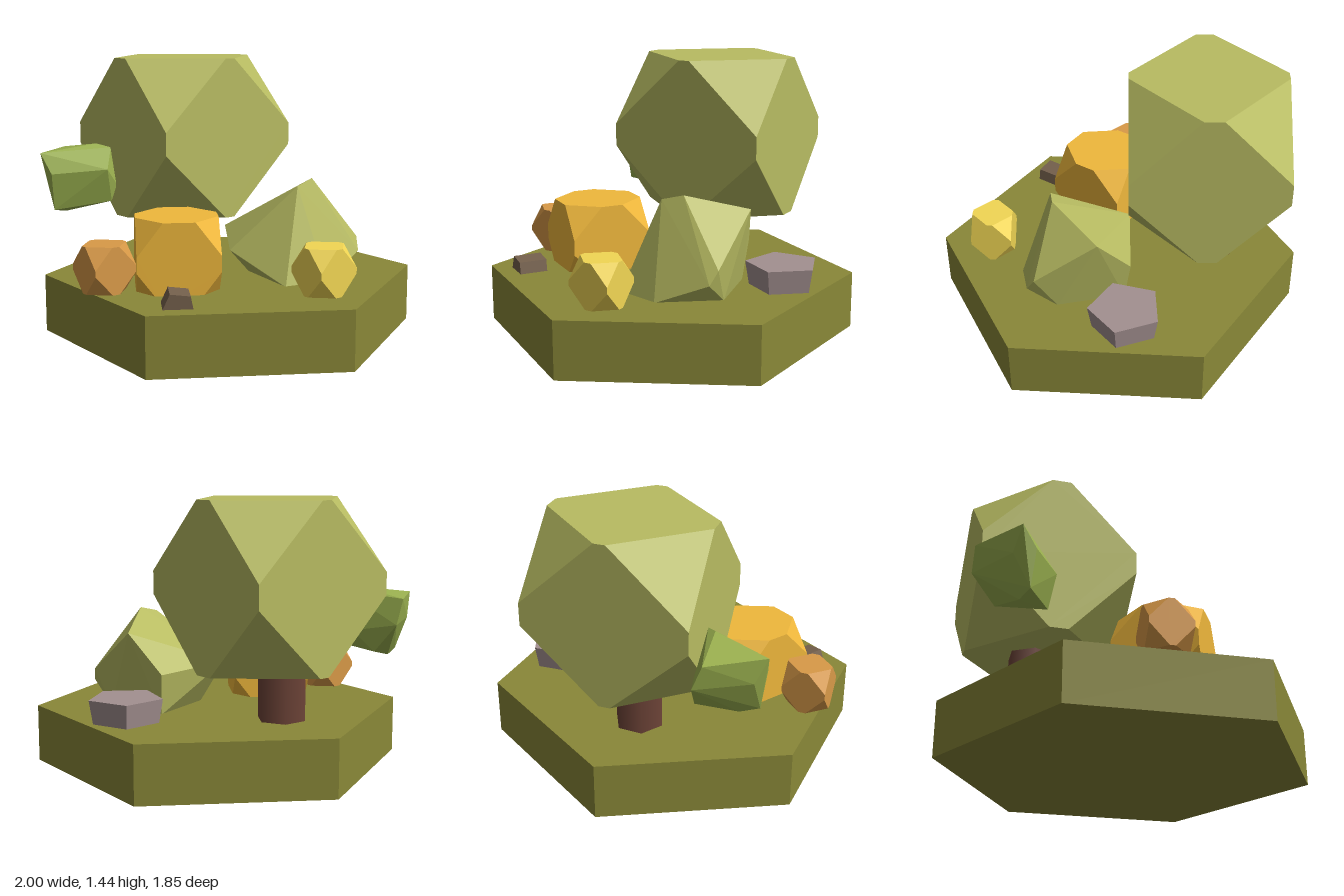
import * as THREE from 'three';
import { ConvexGeometry } from 'three/addons/geometries/ConvexGeometry.js';

export function createModel() {
  const group = new THREE.Group();

  const add = (name, geometry, color, position = [0, 0, 0], flatShading = true) => {
    const mesh = new THREE.Mesh(geometry, new THREE.MeshStandardMaterial({ color, flatShading }));
    mesh.name = name;
    mesh.position.set(...position);
    group.add(mesh);
    return mesh;
  };

  // Box with its corners cut down to the edge middles; each edge keeps a short stub
  const cutBox = (hx, hy, hz, sx, sy, sz) => {
    const points = [];
    for (const a of [-1, 1]) for (const b of [-1, 1]) for (const c of [-1, 1]) {
      points.push(
        new THREE.Vector3(c * sx, a * hy, b * hz),
        new THREE.Vector3(a * hx, c * sy, b * hz),
        new THREE.Vector3(a * hx, b * hy, c * sz));
    }
    return new ConvexGeometry(points);
  };

  const hull = (points) => new ConvexGeometry(points.map((p) => new THREE.Vector3(...p)));

  // Hexagonal ground slab
  add('ground', new THREE.CylinderGeometry(0.99, 0.99, 0.305, 6), 0x8a8838, [0.01, 0.1525, 0.065])
    .rotation.y = Math.PI / 6;

  // Tree
  add('trunk', new THREE.CylinderGeometry(0.13, 0.13, 0.45, 6), 0x6e4438, [-0.27, 0.5, -0.37], false);
  add('treeCrown', cutBox(0.432, 0.43, 0.405, 0.03, 0.06, 0.05), 0xb8bc62, [-0.205, 1.01, -0.35])
    .rotation.y = 0.588;

  // Leaf clump beside the crown
  add('leafClump', hull([
    [-1, 0.93, -0.14], [-0.94, 0.82, -0.09], [-0.93, 0.62, -0.12], [-0.87, 0.6, -0.2],
    [-0.62, 0.66, -0.15], [-0.59, 0.75, -0.16], [-0.64, 0.84, -0.1], [-0.62, 0.95, -0.2],
    [-0.7, 0.97, -0.22], [-0.88, 0.93, -0.44], [-0.84, 0.8, -0.47], [-0.97, 0.8, -0.2],
    [-0.75, 0.65, -0.38], [-0.65, 0.75, -0.3],
  ]), 0x9ab04f);

  // Leaning bush
  add('bush', hull([
    [0.43, 0.82, 0.19], [0.34, 0.79, 0.27], [0.51, 0.73, -0.15], [0.34, 0.52, -0.24],
    [-0.01, 0.54, 0], [-0.01, 0.45, 0.23], [0.69, 0.49, 0.13], [0.69, 0.42, 0.18],
    [0.25, 0.3, 0.46], [0.48, 0.3, 0.38], [0.11, 0.3, 0.1], [0.6, 0.3, 0.05], [0.34, 0.3, -0.2],
  ]), 0xb8bc62);

  // Small rounded shrubs
  add('amberShrub', cutBox(0.21, 0.21, 0.22, 0.08, 0.04, 0.06), 0xf0b83c, [-0.3, 0.46, 0.36]);
  add('yellowShrub', cutBox(0.117, 0.12, 0.11, 0.02, 0.015, 0.015), 0xf2d754, [0.41, 0.43, 0.63])
    .rotation.y = 0.54;
  add('orangeShrub', cutBox(0.117, 0.12, 0.11, 0.02, 0.015, 0.015), 0xd99a48, [-0.665, 0.43, 0.455])
    .rotation.y = 0.54;

  // Stones
  add('greyStone', new THREE.CylinderGeometry(0.197, 0.17, 0.16, 5), 0xa39090, [0.53, 0.35, -0.335])
    .rotation.y = Math.PI;
  const stone = add('brownStone', new THREE.CylinderGeometry(0.085, 0.085, 0.15, 5), 0x75604c, [-0.323, 0.305, 0.755]);
  stone.rotation.set(-Math.PI / 2, Math.PI + 0.12, 0, 'XYZ');
  stone.rotation.y = 0.12 + Math.PI;

  return group;
}
